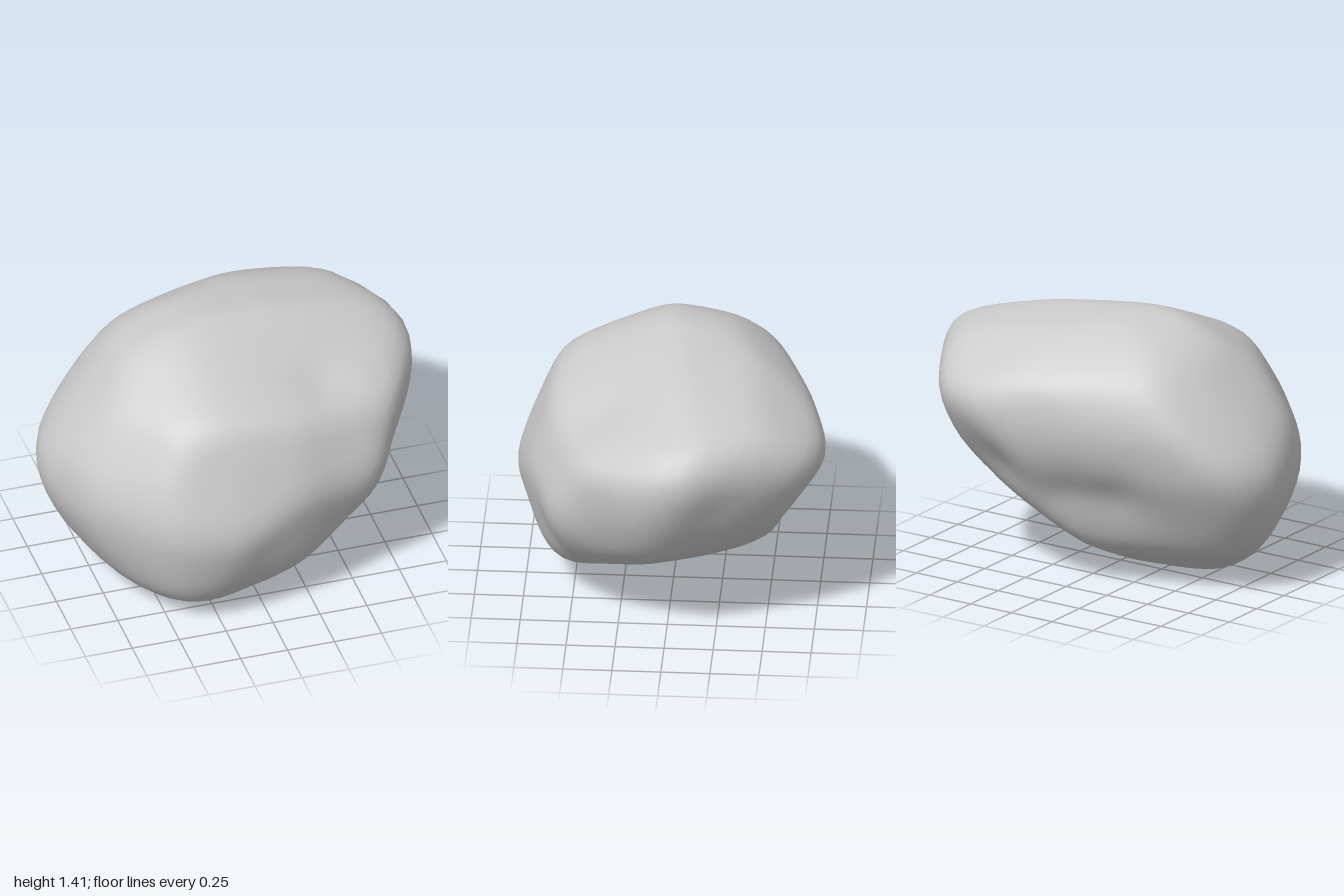
import * as THREE from 'three';
import { mergeVertices } from 'three/addons/utils/BufferGeometryUtils.js';

const V = (x, y, z) => new THREE.Vector3(x, y, z);
const MID = 0.715;
const pairs = (a, f) => Array.from({ length: a.length / 2 }, (_, i) => f(a[2 * i], a[2 * i + 1]));

// outlines on the three main planes, relative to the centre of the rock
const outlineXY = pairs([
  -1, .69, -.95, .81, -.8, 1, -.55, 1.32, -.42, 1.38, -.15, 1.43, .2, 1.4, .6, 1.34, .92, 1.26, .98, 1.19, 1, 1.08,
  .97, .88, .8, .55, .67, .43, .3, .23, -.06, .04, -.47, 0, -.6, .04, -.84, .2, -.97, .46, -1, .55,
], (x, y) => [x, y - MID]);
const outlineZY = pairs([
  .83, .58, .72, .78, .63, 1.11, .5, 1.22, .37, 1.26, 0, 1.43, -.37, 1.38, -.7, 1.16, -.81, 1.07, -.82, .88,
  -.78, .7, -.65, .53, -.5, .24, -.4, .19, -.12, .05, .2, 0, .46, .01, .6, .1, .7, .2, .76, .35,
], (z, y) => [z, y - MID]);
const outlineXZ = pairs([
  -1, -.05, -.97, -.2, -.9, -.37, -.8, -.45, -.5, -.57, 0, -.71, .2, -.78, .37, -.83, .6, -.79, .66, -.75, .84, -.4,
  .95, -.26, 1, -.14, .96, .1, .85, .3, .72, .5, .65, .57, .2, .74, 0, .81, -.13, .82, -.5, .76, -.6, .69, -.87, .37, -1, 0,
], (x, z) => [x, z]);

// outlines on three tilted planes
const tilted = (a) => pairs(a, (x, y) => [x / 174, y / 174]);
const tiltA = tilted([
  -157, 2, -151, 33, -137, 67, -108, 100, -73, 120, 0, 135, 62, 116, 147, 90, 162, 83, 167, 70, 163, 28, 157, 13,
  102, -65, 78, -80, 7, -103, -55, -128, -107, -116, -139, -86, -150, -57,
]);
const tiltB = tilted([
  -167, 33, -160, 61, -151, 90, -130, 123, -66, 121, 34, 111, 79, 101, 142, 66, 152, 33, 157, -17, 150, -62,
  141, -82, 118, -113, 81, -133, 29, -112, -36, -105, -86, -69, -134, -19,
]);
const tiltC = tilted([
  -150, 11, -142, 75, -121, 131, -60, 146, -4, 148, 48, 128, 92, 103, 126, 61, 138, 33, 158, -42, 151, -62,
  119, -117, 96, -132, 14, -157, -19, -150, -67, -127, -99, -79, -142, -11,
]);

const q = Math.SQRT1_2, s = 0.354, c = 0.866;
const planes = [
  [outlineXY, V(1, 0, 0), V(0, 1, 0)],
  [outlineZY, V(0, 0, 1), V(0, 1, 0)],
  [outlineXZ, V(1, 0, 0), V(0, 0, 1)],
  [tiltA, V(q, 0, -q), V(-s, c, -s)],
  [tiltB, V(-q, 0, q), V(s, c, s)],
  [tiltC, V(-q, 0, -q), V(s, c, -s)],
];

// how far an outline reaches in direction (a, b)
const reach = (outline, a, b) => Math.max(...outline.map(([u, v]) => u * a + v * b));

// blend the main outlines into a reach for any direction in space
function baseReach(d) {
  const sq = reach(outlineXY, d.x, d.y) ** 2 + reach(outlineZY, d.z, d.y) ** 2 + reach(outlineXZ, d.x, d.z) ** 2
    - reach(outlineXY, d.x, 0) ** 2 - reach(outlineXY, 0, d.y) ** 2 - reach(outlineXZ, 0, d.z) ** 2;
  return Math.sqrt(Math.max(sq, 0.15));
}

// correction factors along every outline plane
const samples = planes.flatMap(([outline, R, U]) => Array.from({ length: 48 }, (_, i) => {
  const t = i / 48 * Math.PI * 2, a = Math.cos(t), b = Math.sin(t);
  const d = R.clone().multiplyScalar(a).addScaledVector(U, b).normalize();
  return { d, k: reach(outline, a, b) / baseReach(d) };
}));

function fullReach(d) {
  let sum = 0, total = 0;
  for (const { d: e, k } of samples) {
    const w = 1 / (2 - 2 * d.dot(e) + 0.008) ** 2;
    sum += w * k;
    total += w;
  }
  return baseReach(d) * sum / total;
}

// bumps (positive) and hollows (negative): x, y, z, radius, height
const lumps = [
  // corner knob with the undercut below it
  [.58, .62, .48, .18, .04], [.45, .3, .2, .2, -.04],
  // full lower front
  [.15, .32, .62, .24, .04], [-.45, .22, .6, .22, .015],
  // dip between the crown and the high end
  [.4, 1.16, .36, .17, -.035],
  // back groove
  [.33, .66, -.66, .18, -.04], [0, .56, -.58, .2, -.05], [-.3, .53, -.5, .2, -.045],
  // dip in the high end
  [.86, .88, -.28, .15, -.02],
];

function rockGeometry() {
  let geo = new THREE.IcosahedronGeometry(1, 15);
  geo.deleteAttribute('uv');
  geo.deleteAttribute('normal');
  geo = mergeVertices(geo, 1e-4);
  const pos = geo.attributes.position, index = geo.index.array;
  const dirs = Array.from({ length: pos.count }, (_, i) => V().fromBufferAttribute(pos, i).normalize());
  const near = dirs.map(() => new Set());
  for (let i = 0; i < index.length; i += 3) {
    for (let k = 0; k < 3; k++) {
      near[index[i + k]].add(index[i + (k + 1) % 3]).add(index[i + (k + 2) % 3]);
    }
  }

  // trim each ray by the limiting planes, then wear the edges smooth
  const carve = (limits) => {
    let pts = dirs.map((u) => {
      let r = 9;
      dirs.forEach((d, j) => {
        const f = u.dot(d);
        if (f > 0.25) r = Math.min(r, limits[j] / f);
      });
      return u.clone().multiplyScalar(r);
    });
    for (let n = 0; n < 4; n++) {
      pts = pts.map((p, i) => {
        const m = V(0, 0, 0);
        near[i].forEach((j) => m.add(pts[j]));
        return m.divideScalar(near[i].size).lerp(p, 0.4);
      });
    }
    return pts;
  };

  // carve again with the limits moved out where smoothing wore too much away
  const wanted = dirs.map(fullReach);
  let limits = wanted, pts = carve(limits);
  for (let n = 0; n < 3; n++) {
    limits = limits.map((h, j) => {
      const got = pts.reduce((m, p) => Math.max(m, p.dot(dirs[j])), 0);
      return h + 0.8 * (wanted[j] - got);
    });
    pts = carve(limits);
  }

  // raise the bumps and press in the hollows
  for (const p of pts) {
    let push = 0;
    for (const [x, y, z, r, h] of lumps) push += h * Math.exp(-p.distanceToSquared(V(x, y - MID, z)) / (r * r));
    p.setLength(p.length() + push);
  }

  // stand it on the ground
  geo.setAttribute('position', new THREE.Float32BufferAttribute(pts.flatMap((p) => [p.x, p.y, p.z]), 3));
  geo.computeBoundingBox();
  geo.translate(0, -geo.boundingBox.min.y, 0);
  geo.computeVertexNormals();
  return geo;
}

export function createModel() {
  const group = new THREE.Group();
  const rock = new THREE.Mesh(rockGeometry(), new THREE.MeshStandardMaterial({ color: 0xcccccc }));
  rock.name = 'rock';
  group.add(rock);
  return group;
}
